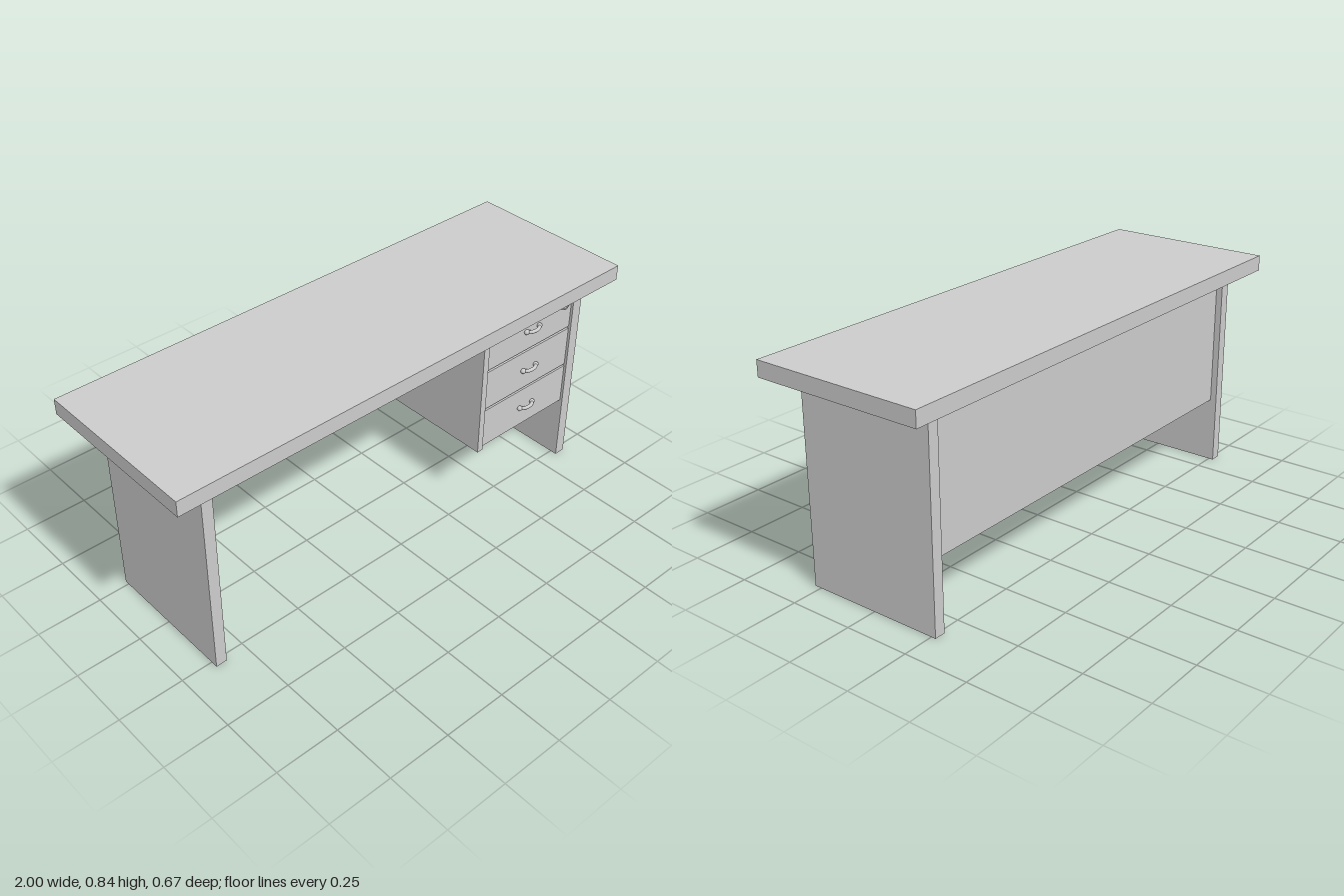
import * as THREE from 'three';

export function createModel() {
  const desk = new THREE.Group();
  desk.name = 'desk';
  const mat = new THREE.MeshStandardMaterial({ color: 0xcccccc });

  const add = (parent, name, geometry, x = 0, y = 0, z = 0) => {
    const mesh = new THREE.Mesh(geometry, mat);
    mesh.name = name;
    mesh.position.set(x, y, z);
    parent.add(mesh);
    return mesh;
  };
  // Box given by its limits on each axis
  const box = (parent, name, [x0, x1], [y0, y1], [z0, z1]) =>
    add(parent, name, new THREE.BoxGeometry(x1 - x0, y1 - y0, z1 - z0),
      (x0 + x1) / 2, (y0 + y1) / 2, (z0 + z1) / 2);

  const underTop = 0.783, panelBottom = 0.26;

  // Worktop, end panels and modesty panel
  box(desk, 'worktop', [-1, 1], [underTop, 0.843], [-0.335, 0.335]);
  box(desk, 'leftEndPanel', [0.835, 0.878], [0, underTop], [-0.268, 0.277]);
  box(desk, 'rightEndPanel', [-0.878, -0.835], [0, underTop], [-0.268, 0.277]);
  box(desk, 'modestyPanel', [-0.835, 0.835], [panelBottom, underTop], [-0.243, -0.176]);

  // Drawer pedestal
  const pedestal = new THREE.Group();
  pedestal.name = 'drawerPedestal';
  desk.add(pedestal);
  box(pedestal, 'pedestalSide', [0.362, 0.388], [panelBottom, underTop], [-0.176, 0.275]);
  box(pedestal, 'pedestalBody', [0.388, 0.835], [panelBottom, underTop], [-0.176, 0.255]);

  // Bowed pull: thick at the ends and slim towards the middle
  const faceZ = 0.268;
  const bow = new THREE.CatmullRomCurve3([
    [-0.034, -0.004], [-0.028, 0.01], [-0.014, 0.018],
    [0.014, 0.018], [0.028, 0.01], [0.034, -0.004],
  ].map(([x, z]) => new THREE.Vector3(x, 0, z)));
  const barGeo = new THREE.TubeGeometry(bow, 20, 0.007, 10);
  const knobGeo = new THREE.SphereGeometry(0.01, 14, 10);

  const pitch = 0.173;
  for (let i = 0; i < 3; i++) {
    const drawer = new THREE.Group();
    drawer.name = `drawer${i + 1}`;
    pedestal.add(drawer);
    const top = 0.78 - i * pitch;
    box(drawer, 'drawerFront', [0.395, 0.833], [top - pitch + 0.009, top], [0.25, faceZ]);

    const handle = new THREE.Group();
    handle.name = 'handle';
    handle.position.set(0.62, 0.7 - i * pitch, faceZ);
    drawer.add(handle);
    add(handle, 'handleBar', barGeo);
    for (const s of [-1, 1]) {
      add(handle, 'handleEnd', knobGeo, s * 0.034, 0, 0.005).scale.set(1.1, 1, 1);
    }
  }

  // Lock in the top drawer: raised ring around a sunken disc
  const lock = new THREE.Group();
  lock.name = 'lock';
  lock.position.set(0.787, 0.737, faceZ);
  pedestal.add(lock);
  const rim = [[0.018, 0], [0.023, 0], [0.023, 0.012], [0.018, 0.012], [0.018, 0]]
    .map(([r, y]) => new THREE.Vector2(r, y));
  const ring = new THREE.LatheGeometry(rim, 32).toNonIndexed();
  ring.computeVertexNormals();
  add(lock, 'lockRing', ring).rotation.x = Math.PI / 2;
  add(lock, 'lockDisc', new THREE.CylinderGeometry(0.0182, 0.0182, 0.01, 32), 0, 0, 0.005)
    .rotation.x = Math.PI / 2;

  return desk;
}
